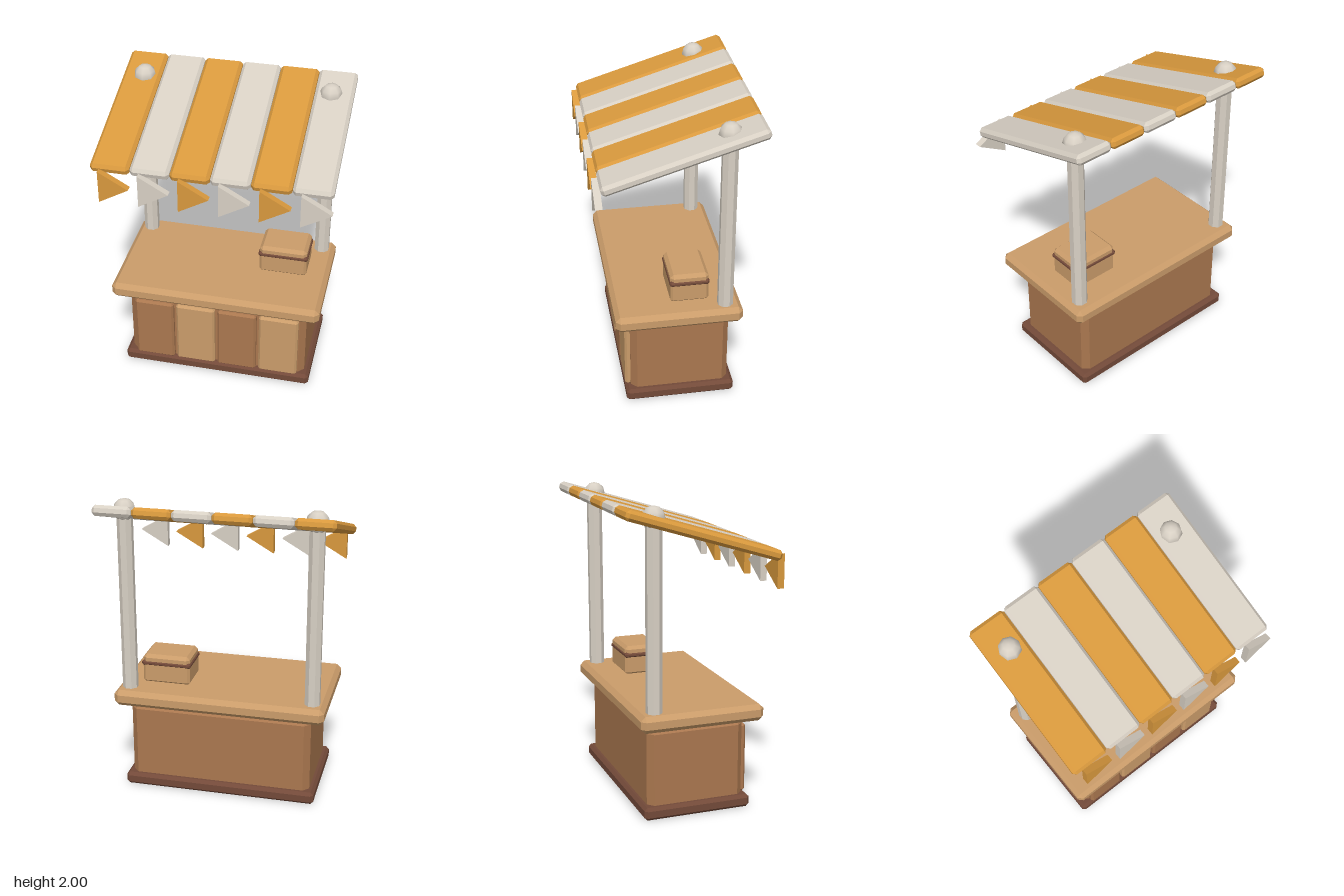
import * as THREE from 'three';
import { ConvexGeometry } from 'three/addons/geometries/ConvexGeometry.js';

const flat = (name, color) => {
  const m = new THREE.MeshStandardMaterial({ color });
  m.name = name;
  return m;
};

// Box with every edge and corner cut off at 45 degrees
function chamferBox(w, h, d, c) {
  const pts = [];
  for (const sx of [-1, 1]) for (const sy of [-1, 1]) for (const sz of [-1, 1]) {
    const x = w / 2, y = h / 2, z = d / 2;
    pts.push(
      new THREE.Vector3(sx * x, sy * (y - c), sz * (z - c)),
      new THREE.Vector3(sx * (x - c), sy * y, sz * (z - c)),
      new THREE.Vector3(sx * (x - c), sy * (y - c), sz * z));
  }
  return new ConvexGeometry(pts);
}

export function createModel() {
  const gold = flat('gold', 0xd9993d);
  const cream = flat('cream', 0xd8d0c4);
  const lightWood = flat('light wood', 0xca9c6a);
  const midWood = flat('mid wood', 0xaa774f);
  const darkWood = flat('dark wood', 0x734a39);
  for (const m of [gold, cream, lightWood, midWood, darkWood]) m.flatShading = false;

  const model = new THREE.Group();
  model.name = 'marketStall';
  const add = (name, geometry, material, x, y, z, parent = model) => {
    const mesh = new THREE.Mesh(geometry, material);
    mesh.name = name;
    mesh.position.set(x, y, z);
    parent.add(mesh);
    return mesh;
  };
  // Chamfered block given by its bottom and top heights
  const block = (name, mat, x, z, w, d, y0, y1, c, parent) =>
    add(name, chamferBox(w, y1 - y0, d, c), mat, x, (y0 + y1) / 2, z, parent);

  // Counter
  block('plinth', darkWood, -0.005, -0.015, 1.295, 0.72, 0, 0.085, 0.02);
  block('counterBody', midWood, -0.005, -0.015, 1.22, 0.65, 0.005, 0.6, 0.04);
  block('counterTop', lightWood, -0.005, 0, 1.41, 0.825, 0.6, 0.71, 0.03);

  // Front panels in alternating woods
  for (let i = 0; i < 4; i++) {
    block('frontPanel', i % 2 ? lightWood : midWood,
      -0.005 + (i - 1.5) * 0.287, 0.32, 0.268, 0.05, 0.08, 0.547, 0.014);
  }

  // Small chest on the counter
  const chest = new THREE.Group();
  chest.name = 'chest';
  model.add(chest);
  block('chestBody', lightWood, 0.391, -0.085, 0.322, 0.25, 0.705, 0.85, 0.016, chest);
  block('chestBand', darkWood, 0.391, -0.085, 0.337, 0.258, 0.825, 0.862, 0.012, chest);
  block('chestLid', lightWood, 0.391, -0.085, 0.322, 0.25, 0.835, 0.905, 0.022, chest);

  // Posts with ball finials poking through the awning
  const postGeo = new THREE.CylinderGeometry(0.052, 0.052, 1.19, 8).rotateY(Math.PI / 8).toNonIndexed();
  postGeo.computeVertexNormals();
  const ballGeo = new THREE.SphereGeometry(0.075, 8, 6);
  for (const x of [-0.62, 0.61]) {
    add('post', postGeo, cream, x, 1.295, -0.305);
    add('finial', ballGeo, cream, x, 1.925, -0.305);
  }

  // Sloping awning boards, each with a triangular pennant at the front
  const boardGeo = chamferBox(0.25, 0.068, 1.05, 0.02);
  const pennantGeo = new THREE.CylinderGeometry(0.128, 0.128, 0.045, 3, 1, false, Math.PI / 2)
    .rotateX(Math.PI / 2).toNonIndexed();
  pennantGeo.computeVertexNormals();
  for (let i = 0; i < 6; i++) {
    const x = -0.004 + (i - 2.5) * 0.2535;
    const mat = i % 2 ? cream : gold;
    add('awningBoard', boardGeo, mat, x, 1.818, -0.016).rotation.x = 0.297;
    add('pennant', pennantGeo, mat, x, 1.564, 0.502);
  }
  return model;
}
